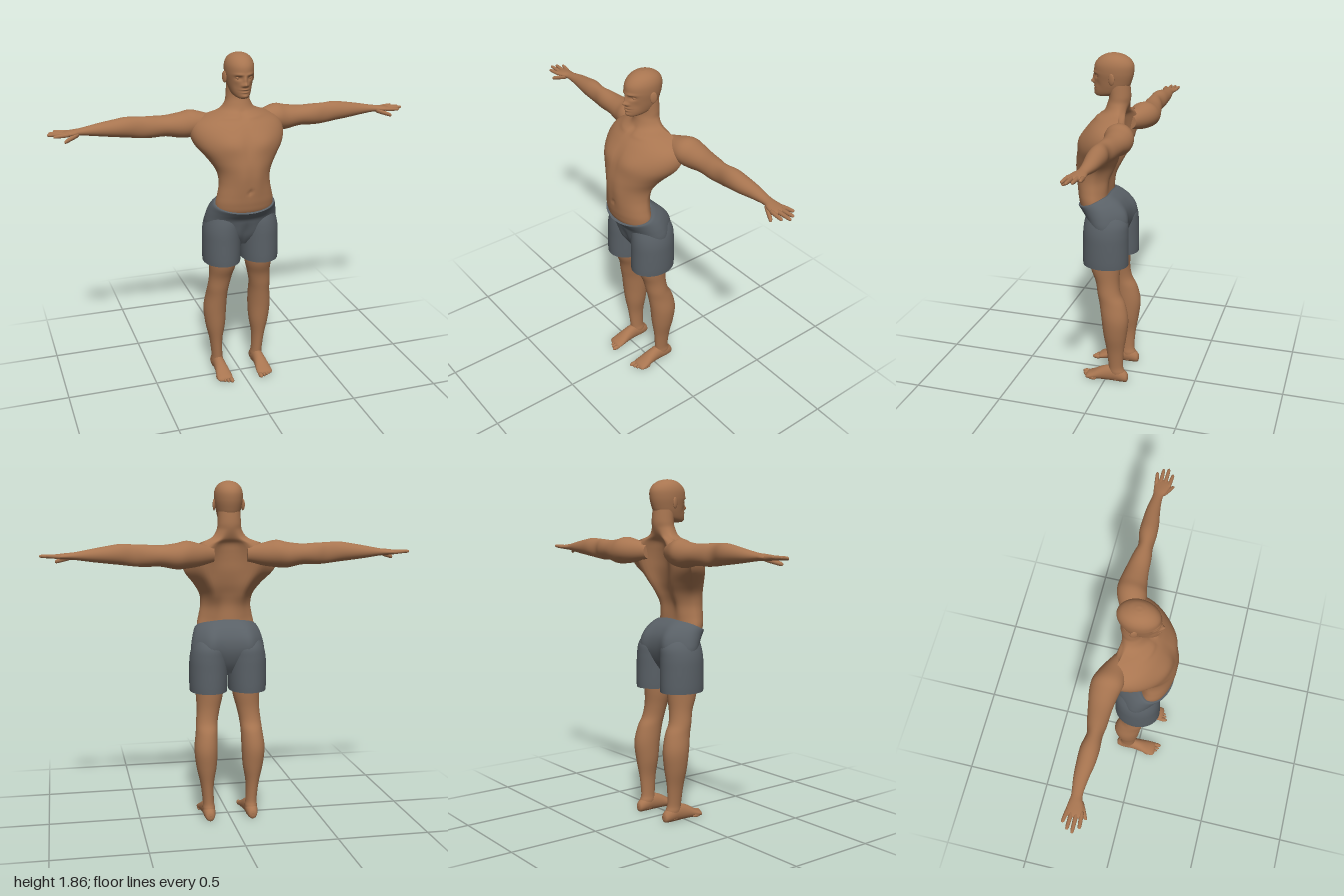
import * as THREE from 'three';

const skin = new THREE.MeshStandardMaterial({ color: 0xa87550 });
skin.name = 'skin';
const cloth = new THREE.MeshStandardMaterial({ color: 0x596066 });
cloth.name = 'shortsCloth';

// Catmull-Rom interpolation through the rows of a section table
function sample(rows, t) {
  const n = rows.length - 1;
  const i = Math.min(Math.floor(t), n - 1), f = t - i;
  const [a, b, c, d] = [-1, 0, 1, 2].map(k => rows[Math.max(0, Math.min(n, i + k))]);
  return b.map((_, k) => 0.5 * (2 * b[k] + (c[k] - a[k]) * f
    + (2 * a[k] - 5 * b[k] + 4 * c[k] - d[k]) * f * f
    + (3 * b[k] - a[k] - 3 * c[k] + d[k]) * f * f * f));
}

// Skin a closed surface over the sections; place(row, angle) returns a point
function loft(rows, place, seg = 32, sub = 5) {
  const pos = [], idx = [], steps = (rows.length - 1) * sub;
  for (let i = 0; i <= steps; i++) {
    const row = sample(rows, i / sub);
    for (let j = 0; j < seg; j++) pos.push(...place(row, j / seg * Math.PI * 2));
  }
  for (let i = 0; i < steps; i++) for (let j = 0; j < seg; j++) {
    const a = i * seg + j, b = i * seg + (j + 1) % seg;
    idx.push(a, a + seg, b, b, a + seg, b + seg);
  }
  // end caps on their own vertices, so open rims stay sharp
  for (const end of [0, steps]) {
    const base = pos.length / 3, mid = [0, 0, 0];
    for (let j = 0; j < seg; j++) for (let k = 0; k < 3; k++) {
      const v = pos[(end * seg + j) * 3 + k];
      pos.push(v);
      mid[k] += v / seg;
    }
    pos.push(...mid);
    for (let j = 0; j < seg; j++) {
      const a = base + j, b = base + (j + 1) % seg;
      idx.push(...(end ? [a, base + seg, b] : [a, b, base + seg]));
    }
  }
  const g = new THREE.BufferGeometry();
  g.setAttribute('position', new THREE.Float32BufferAttribute(pos, 3));
  g.setIndex(idx);
  g.computeVertexNormals();
  return g;
}

// Limb rows: x, y, z, radius u, radius v; the axis picks the section plane
const limbPlace = {
  y: ([x, y, z, u, v], a) => [x + u * Math.cos(a), y, z + v * Math.sin(a)],
  x: ([x, y, z, u, v], a) => [x, y + v * Math.sin(a), z + u * Math.cos(a)],
  z: ([x, y, z, u, v], a) => [x + v * Math.sin(a), Math.max(0, y + u * Math.cos(a)), z],
};
const limb = (rows, axis, seg = 24, sub = 5) => loft(rows, limbPlace[axis], seg, sub);

// Body rows: y, half width, z of widest point, front z, back z, back bulge, tilt.
// Bumps: x, y, x radius, y radius, height; they push the front surface
const bodyPlace = (bumps = []) => ([y, w, zc, zf, zb, bulge = 0, tilt = 0], a) => {
  const x = w * Math.cos(a), s = Math.sin(a);
  let z = zc + (s > 0 ? zf - zc : zc - zb) * s;
  if (s < 0) z -= bulge * Math.exp(-(((Math.abs(Math.cos(a)) - 0.55) / 0.26) ** 2));
  else for (const [bx, by, rx, ry, h] of bumps)
    z += h * Math.min(1, s * 2) * Math.exp(-(((Math.abs(x) - bx) / rx) ** 2) - ((y - by) / ry) ** 2);
  return [x, y - tilt * s, z];
};

function mirrored(geo) {
  const g = geo.clone();
  g.scale(-1, 1, 1);
  const ix = g.index.array;
  for (let i = 0; i < ix.length; i += 3) [ix[i], ix[i + 1]] = [ix[i + 1], ix[i]];
  g.computeVertexNormals();
  return g;
}

function ellipsoid(x, y, z, rx, ry, rz, turn = 0) {
  const g = new THREE.SphereGeometry(1, 16, 12);
  g.scale(rx, ry, rz);
  g.rotateY(turn);
  g.translate(x, y, z);
  return g;
}

export function createModel() {
  const model = new THREE.Group();
  model.name = 'standingMan';
  const add = (name, geo, mat = skin) => {
    const m = new THREE.Mesh(geo, mat);
    m.name = name;
    model.add(m);
  };
  const pair = (name, geo, mat = skin) => {
    add(name + 'Left', geo, mat);
    add(name + 'Right', mirrored(geo), mat);
  };

  // Torso and neck
  add('torso', loft([
    [0.98, 0.15, 0.02, 0.1, -0.06, 0],
    [1.03, 0.158, 0.06, 0.158, -0.02, 0],
    [1.08, 0.16, 0.07, 0.174, 0.0, 0.005],
    [1.13, 0.15, 0.075, 0.18, 0.005, 0.012],
    [1.19, 0.14, 0.07, 0.185, 0.005, 0.022],
    [1.25, 0.148, 0.05, 0.188, -0.01, 0.035],
    [1.31, 0.185, 0.015, 0.184, -0.03, 0.042],
    [1.38, 0.242, -0.04, 0.168, -0.045, 0.045],
    [1.44, 0.258, -0.07, 0.143, -0.05, 0.05],
    [1.49, 0.238, -0.085, 0.11, -0.055, 0.05],
    [1.53, 0.175, -0.085, 0.072, -0.062, 0.035],
    [1.56, 0.1, -0.06, 0.036, -0.085, 0.01],
    [1.60, 0.069, -0.045, 0.018, -0.1, 0],
    [1.64, 0.063, -0.045, 0.01, -0.105, 0],
    [1.70, 0.06, -0.04, 0.02, -0.1, 0],
  ], bodyPlace([
    [0.09, 1.41, 0.07, 0.05, 0.012], [0, 1.42, 0.014, 0.07, -0.005],
    [0.045, 1.22, 0.03, 0.09, 0.005], [0, 1.155, 0.009, 0.013, -0.01],
    [0.07, 1.535, 0.06, 0.012, 0.008], [0, 1.54, 0.018, 0.018, -0.008],
  ]), 64, 6));

  // Head with sculpted face
  add('head', loft([
    [1.632, 0.018, 0.05, 0.07, 0.03],
    [1.638, 0.034, 0.03, 0.084, -0.02],
    [1.655, 0.049, 0.0, 0.089, -0.065],
    [1.685, 0.06, -0.015, 0.09, -0.095],
    [1.72, 0.068, -0.02, 0.09, -0.11],
    [1.76, 0.075, -0.02, 0.092, -0.12],
    [1.80, 0.075, -0.02, 0.088, -0.12],
    [1.83, 0.064, -0.02, 0.068, -0.102],
    [1.85, 0.043, -0.018, 0.038, -0.07],
    [1.859, 0.018, -0.015, 0.008, -0.036],
    [1.86, 0.004, -0.014, -0.01, -0.018],
  ], bodyPlace([
    [0, 1.708, 0.012, 0.011, 0.02], [0, 1.73, 0.009, 0.02, 0.011],
    [0.014, 1.704, 0.007, 0.007, 0.006], [0.031, 1.742, 0.016, 0.011, -0.012],
    [0.03, 1.76, 0.022, 0.007, 0.006], [0, 1.683, 0.02, 0.005, 0.007],
    [0, 1.676, 0.022, 0.003, -0.004], [0, 1.669, 0.017, 0.005, 0.006],
    [0, 1.648, 0.02, 0.01, 0.006], [0.042, 1.7, 0.012, 0.025, -0.005],
  ]), 96, 9));
  pair('eye', ellipsoid(0.031, 1.742, 0.063, 0.013, 0.008, 0.01));
  pair('ear', ellipsoid(0.078, 1.735, -0.022, 0.007, 0.031, 0.019, -0.35));

  // Arms held straight out, palms down
  pair('arm', limb([
    [0.09, 1.475, -0.075, 0.035, 0.04], [0.17, 1.475, -0.098, 0.062, 0.06],
    [0.24, 1.478, -0.112, 0.078, 0.073], [0.30, 1.471, -0.12, 0.073, 0.068],
    [0.38, 1.474, -0.118, 0.06, 0.056], [0.46, 1.475, -0.112, 0.05, 0.058],
    [0.52, 1.478, -0.108, 0.039, 0.057], [0.59, 1.484, -0.112, 0.047, 0.054],
    [0.66, 1.483, -0.114, 0.045, 0.045], [0.74, 1.481, -0.118, 0.036, 0.033],
    [0.82, 1.479, -0.115, 0.027, 0.02], [0.86, 1.478, -0.109, 0.036, 0.017],
    [0.90, 1.477, -0.106, 0.043, 0.013], [0.922, 1.476, -0.106, 0.038, 0.009],
    [0.927, 1.476, -0.106, 0.01, 0.003],
  ], 'x', 32));

  // Fingers: root z, tip z, tip x, tip y
  const digit = (a, b, r) => limb([0, 0.12, 0.55, 0.88, 0.98, 1].map((t, i) => [
    ...a.map((v, k) => v + (b[k] - v) * t), r * [0.7, 1, 0.95, 0.8, 0.5, 0.1][i], r * [0.7, 1, 0.95, 0.8, 0.5, 0.1][i],
  ]), 'x', 12, 3);
  [[-0.072, -0.065, 0.972, 1.474], [-0.095, -0.093, 1.0, 1.479],
    [-0.118, -0.12, 0.99, 1.481], [-0.138, -0.148, 0.962, 1.483]].forEach(([z0, z1, x, y], i) =>
    pair('finger' + (i + 1), digit([0.89, 1.477, z0], [x, y, z1], 0.0105)));
  pair('thumb', digit([0.84, 1.472, -0.092], [0.92, 1.446, -0.05], 0.013));

  // Legs
  pair('leg', limb([
    [0.12, 0.015, -0.072, 0.028, 0.042], [0.12, 0.06, -0.068, 0.034, 0.046],
    [0.122, 0.1, -0.062, 0.031, 0.042], [0.128, 0.2, -0.06, 0.037, 0.05],
    [0.131, 0.3, -0.06, 0.056, 0.066], [0.133, 0.4, -0.059, 0.064, 0.076],
    [0.127, 0.49, -0.043, 0.06, 0.073], [0.122, 0.55, -0.022, 0.06, 0.064],
    [0.112, 0.62, -0.01, 0.064, 0.066], [0.103, 0.71, 0.004, 0.076, 0.085],
    [0.1, 0.86, 0.005, 0.08, 0.095],
  ], 'y', 32));

  // Feet and toes
  pair('foot', limb([
    [0.12, 0.026, -0.133, 0.01, 0.008], [0.12, 0.029, -0.124, 0.028, 0.024],
    [0.12, 0.042, -0.085, 0.043, 0.034], [0.12, 0.046, -0.035, 0.048, 0.033],
    [0.12, 0.038, 0.02, 0.04, 0.037], [0.12, 0.024, 0.07, 0.025, 0.044],
    [0.12, 0.016, 0.103, 0.016, 0.043], [0.12, 0.013, 0.114, 0.006, 0.025],
  ], 'z'));
  [0, 1, 2, 3, 4].forEach(i => pair('toe' + (i + 1), ellipsoid(
    [0.088, 0.109, 0.126, 0.142, 0.156][i], 0.013, 0.117 - 0.004 * i * i * 0.6 - 0.002 * i,
    i ? 0.0085 : 0.013, i ? 0.011 : 0.013, i ? 0.025 : 0.028)));

  // Shorts: seat with a slanted waist, then two straight legs
  add('shortsSeat', loft([
    [0.82, 0.1, 0, 0.06, -0.05, 0, 0], [0.88, 0.19, 0, 0.1, -0.085, 0.015, 0],
    [0.95, 0.203, 0.0, 0.122, -0.105, 0.028, 0], [1.0, 0.197, 0.015, 0.137, -0.1, 0.028, 0.015],
    [1.04, 0.186, 0.035, 0.158, -0.07, 0.02, 0.028], [1.065, 0.175, 0.06, 0.172, -0.03, 0.014, 0.036],
    [1.073, 0.167, 0.07, 0.176, -0.008, 0.01, 0.04],
  ], bodyPlace([[0, 0.9, 0.02, 0.05, -0.012], [0, 1.0, 0.09, 0.04, -0.006]]), 64, 6), cloth);
  pair('shortsLeg', limb([
    [0.109, 0.72, 0.0, 0.103, 0.126], [0.109, 0.76, 0.0, 0.105, 0.127],
    [0.108, 0.84, 0.0, 0.106, 0.126], [0.106, 0.91, 0.0, 0.105, 0.125],
    [0.1, 0.97, 0.0, 0.097, 0.118], [0.095, 1.02, 0.01, 0.075, 0.09],
    [0.09, 1.04, 0.02, 0.03, 0.04],
  ], 'y', 40), cloth);

  return model;
}
